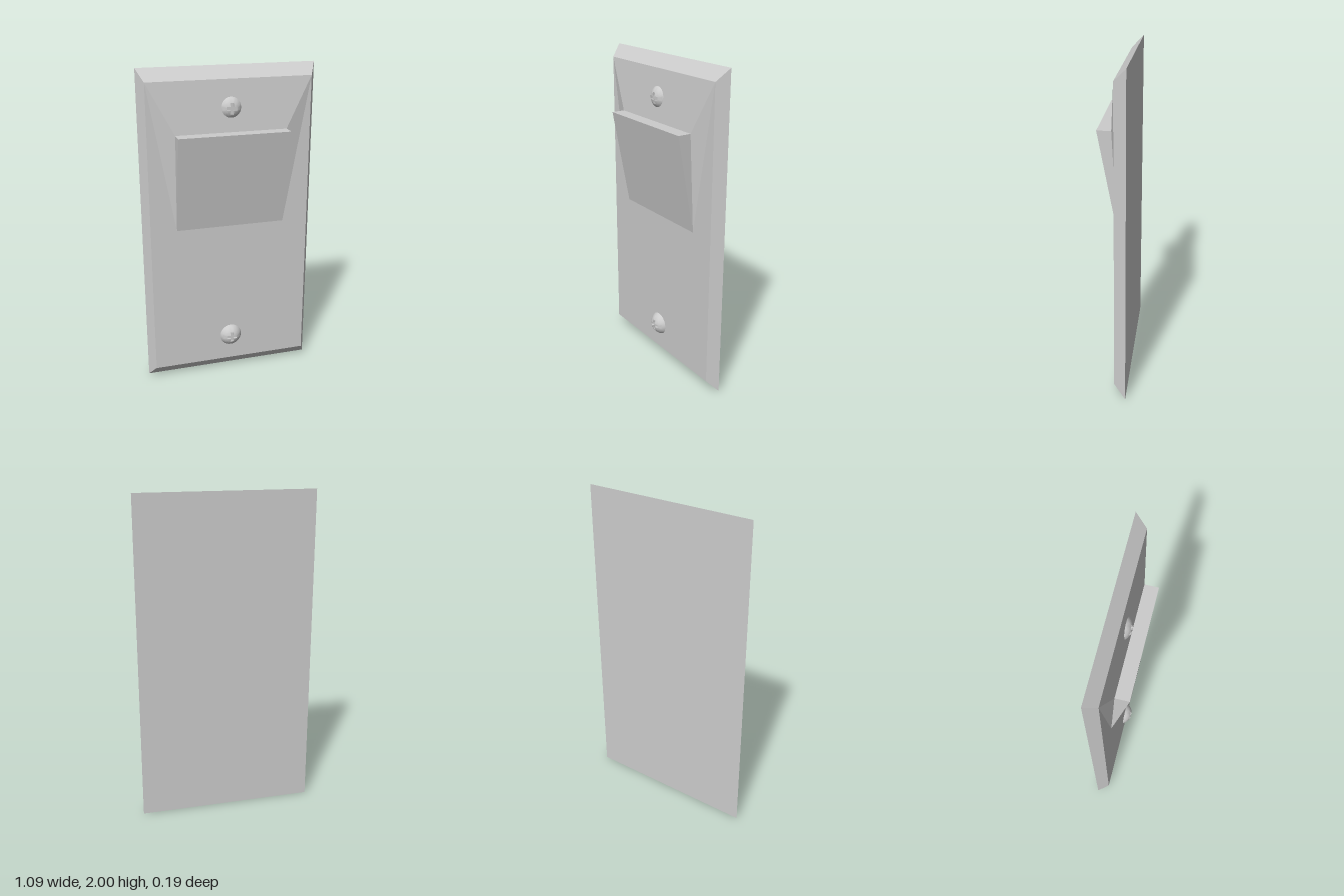
import * as THREE from 'three';
import { toCreasedNormals } from 'three/addons/utils/BufferGeometryUtils.js';

const material = new THREE.MeshStandardMaterial({ color: 0xcccccc });
const BACK = -0.093, FACE = -0.022, RAISED = 0.009;

// flat-faced geometry from convex polygons, corners counter-clockwise from outside
function polygons(faces) {
  const pos = [];
  for (const f of faces)
    for (let i = 1; i < f.length - 1; i++) pos.push(...f[0], ...f[i], ...f[i + 1]);
  const g = new THREE.BufferGeometry();
  g.setAttribute('position', new THREE.Float32BufferAttribute(pos, 3));
  g.computeVertexNormals();
  return g;
}

// rectangle corners: bottom right, top right, top left, bottom left (seen from front)
const rect = (w, y0, y1, z0, z1 = z0) =>
  [[w, y0, z0], [w, y1, z1], [-w, y1, z1], [-w, y0, z0]];

// bevelled plate whose face swells up to meet the rocker
function plateGeometry() {
  const back = rect(0.545, 0, 2, BACK);
  const face = rect(0.505, 0.076, 1.928, FACE);
  const seat = rect(0.343, 1.02, 1.62, FACE, RAISED);
  const faces = [[...back].reverse()];
  for (let i = 0; i < 4; i++) {
    const j = (i + 1) % 4;
    faces.push([back[i], back[j], face[j], face[i]]);
  }
  faces.push(
    [face[1], face[2], seat[2], seat[1]],
    [face[1], seat[1], seat[0]], [face[0], face[1], seat[0]],
    [face[2], seat[3], seat[2]], [face[3], seat[3], face[2]],
    [face[0], seat[0], seat[3], face[3]]);
  return polygons(faces);
}

// wedge standing out at the top and running into the plate at the bottom
function rockerGeometry() {
  const profile = new THREE.Shape([
    new THREE.Vector2(FACE, 1.02), new THREE.Vector2(0.092, 1.62), new THREE.Vector2(RAISED, 1.62)]);
  return new THREE.ExtrudeGeometry(profile, { depth: 0.686, bevelEnabled: false })
    .translate(0, 0, -0.343).rotateY(-Math.PI / 2);
}

// domed screw head with a cross recess, base at z = 0
function screwGeometry() {
  const radius = 0.072, height = 0.045, floor = 0.027;
  const R = (radius ** 2 + height ** 2) / (2 * height);
  const a = 0.011, b = 0.033, outline = [];
  const arm = [[b, -a], [b, a], [a, a]];
  const corners = [];
  for (let q = 0; q < 4; q++)
    for (const [x, y] of arm)
      corners.push(new THREE.Vector2(x, y).rotateAround(new THREE.Vector2(), q * Math.PI / 2));
  corners.forEach((p, i) => {
    for (let k = 0; k < 4; k++) outline.push(p.clone().lerp(corners[(i + 1) % 12], k / 4));
  });
  const dome = (x, y) => Math.sqrt(Math.max(0, R * R - x * x - y * y)) - R + height;

  // rings from the recess centre, up its wall and over the dome to the rim
  const rings = [outline.map(() => [0, 0, floor]), outline.map(p => [p.x, p.y, floor])];
  for (let s = 0; s <= 7; s++)
    rings.push(outline.map(p => {
      const v = p.clone().lerp(p.clone().setLength(radius), s / 7);
      return [v.x, v.y, dome(v.x, v.y)];
    }));
  const faces = [], n = outline.length;
  for (let r = 0; r < rings.length - 1; r++)
    for (let i = 0; i < n; i++) {
      const j = (i + 1) % n, p = rings[r], q = rings[r + 1];
      faces.push(r === 0 ? [p[i], q[i], q[j]] : [p[i], q[i], q[j], p[j]]);
    }
  return toCreasedNormals(polygons(faces), 0.6);
}

export function createModel() {
  const group = new THREE.Group();
  const add = (name, geometry) => {
    const mesh = new THREE.Mesh(geometry, material);
    mesh.name = name;
    group.add(mesh);
    return mesh;
  };
  add('wallPlate', plateGeometry());
  add('rocker', rockerGeometry());
  const screw = screwGeometry();
  add('upperScrew', screw).position.set(0, 1.76, FACE);
  add('lowerScrew', screw).position.set(0, 0.248, FACE);
  return group;
}
